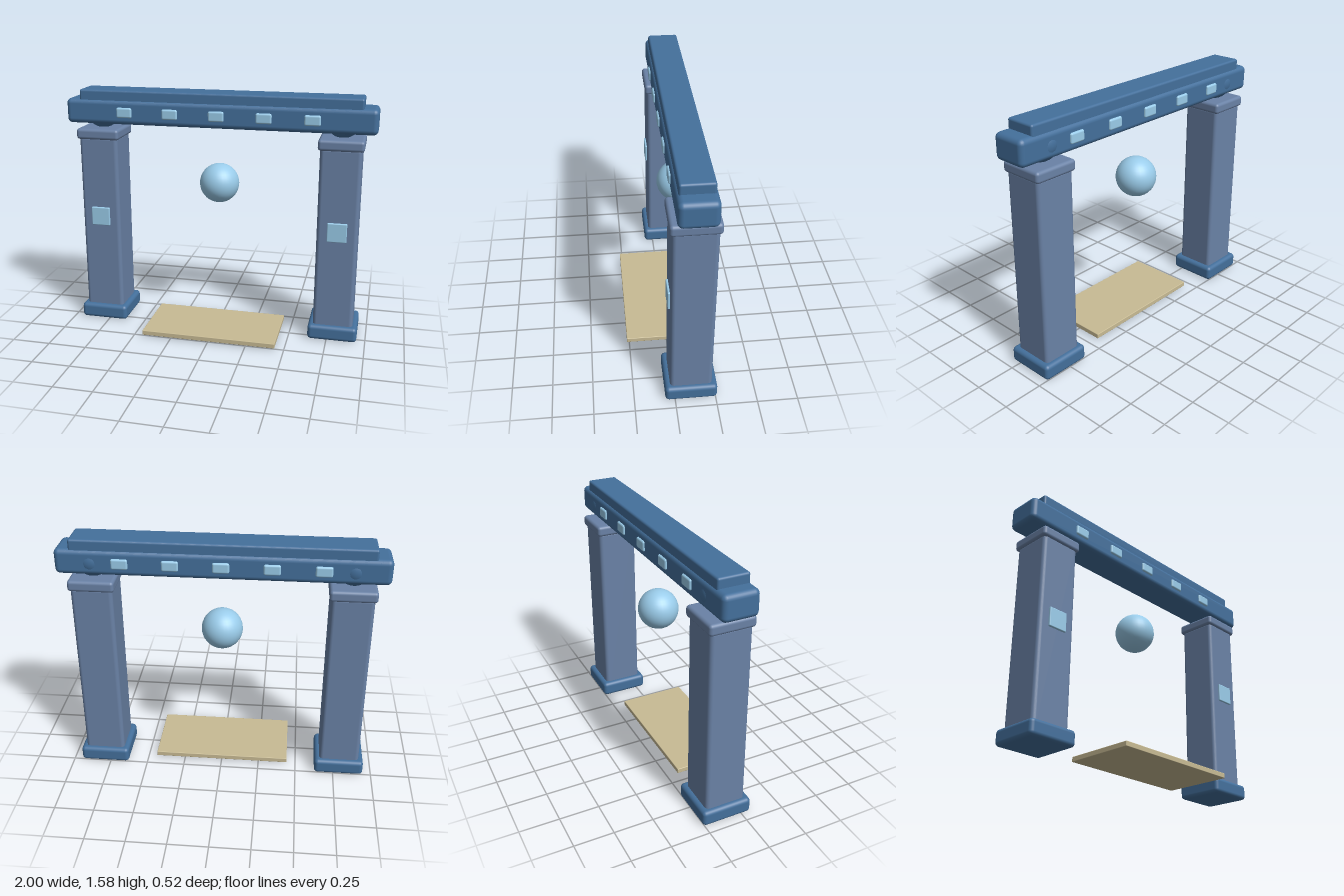
import * as THREE from 'three';
import { RoundedBoxGeometry } from 'three/addons/geometries/RoundedBoxGeometry.js';

const Z = -0.1; // centre plane of the gate

const paint = (color) => new THREE.MeshStandardMaterial({ color });

export function createModel() {
  const group = new THREE.Group();
  const stone = paint(0x6a82a6);
  const blue = paint(0x44709c);
  const glow = paint(0x9accea);
  const sand = paint(0xc8bb94);

  // Rounded block given by its centre x, bottom and top, centre z, width, depth
  function block(name, material, x, y0, y1, z, w, d, r, parent = group) {
    const mesh = new THREE.Mesh(new RoundedBoxGeometry(w, y1 - y0, d, 3, r), material);
    mesh.position.set(x, (y0 + y1) / 2, z);
    mesh.name = name;
    parent.add(mesh);
    return mesh;
  }

  function ball(name, material, x, y, r, parent = group) {
    const mesh = new THREE.Mesh(new THREE.SphereGeometry(r, 32, 20), material);
    mesh.position.set(x, y, Z - 0.003);
    mesh.name = name;
    parent.add(mesh);
  }

  // Two pillars with base, capital, ball bearing and a front panel
  for (const [side, label] of [[1, 'left'], [-1, 'right']]) {
    const pillar = new THREE.Group();
    pillar.name = label + 'Pillar';
    const x = side * 0.785;
    block('base', blue, x, 0, 0.1, Z, 0.32, 0.32, 0.025, pillar);
    block('shaft', stone, x, 0.05, 1.28, Z, 0.258, 0.258, 0.025, pillar);
    block('capital', stone, x, 1.26, 1.33, Z, 0.285, 0.285, 0.02, pillar);
    ball('bearing', blue, x, 1.435, 0.114, pillar);
    block('panel', glow, x, 0.678, 0.802, 0.027, 0.125, 0.03, 0.006, pillar);
    group.add(pillar);
  }

  // Lintel and the slab on top of it
  block('lintel', blue, 0, 1.36, 1.52, Z, 2, 0.222, 0.032);
  block('topSlab', blue, 0, 1.5, 1.58, Z, 1.82, 0.195, 0.014);

  // Inlays on the front and back of the lintel
  for (let i = -2; i <= 2; i++) {
    for (const s of [1, -1]) {
      block('inlay', glow, i * 0.302, 1.407, 1.473, Z + s * 0.108, 0.102, 0.03, 0.012);
    }
  }

  // Floating orb and the threshold on the ground
  ball('orb', glow, 0, 0.985, 0.129);
  block('threshold', sand, 0, 0.01, 0.042, 0.042, 0.882, 0.446, 0.004);

  return group;
}
